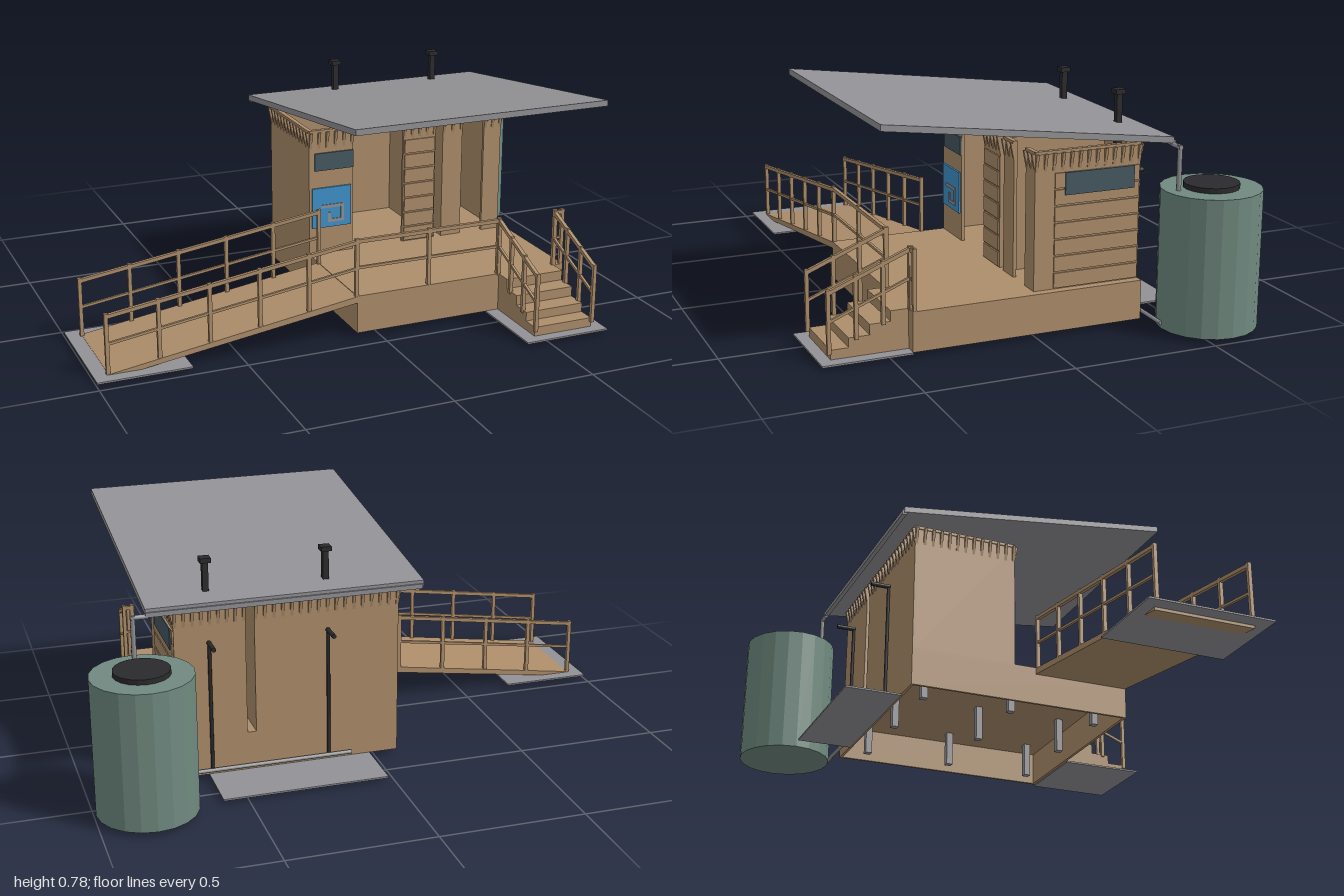
import * as THREE from 'three';

const mat = (name, color) => {
  const m = new THREE.MeshStandardMaterial({ color });
  m.name = name;
  return m;
};

export function createModel() {
  const timber = mat('timber', 0xad8e6b);
  const grey = mat('sheet grey', 0x929296);
  const green = mat('tank green', 0x708a80);
  const black = mat('black plastic', 0x2b2b2d);
  const blue = mat('sign blue', 0x3f92cc);
  const glass = mat('window slate', 0x465862);

  const root = new THREE.Group();
  root.name = 'restroomBlock';
  const group = (name) => {
    const g = new THREE.Group();
    g.name = name;
    root.add(g);
    return g;
  };
  const add = (parent, name, geo, m) => {
    const mesh = new THREE.Mesh(geo, m);
    mesh.name = name;
    parent.add(mesh);
    return mesh;
  };
  // Box given by its limits on each axis
  const box = (parent, name, m, x0, x1, y0, y1, z0, z1) => {
    const mesh = add(parent, name, new THREE.BoxGeometry(x1 - x0, y1 - y0, z1 - z0), m);
    mesh.position.set((x0 + x1) / 2, (y0 + y1) / 2, (z0 + z1) / 2);
    return mesh;
  };
  // Square bar, or round pipe, between two points
  const rod = (parent, name, m, a, b, t, round = false) => {
    const p = new THREE.Vector3(...a), q = new THREE.Vector3(...b);
    const len = p.distanceTo(q);
    const geo = round ? new THREE.CylinderGeometry(t / 2, t / 2, len, 10) : new THREE.BoxGeometry(t, len, t);
    const mesh = add(parent, name, geo, m);
    mesh.position.copy(p).add(q).multiplyScalar(0.5);
    mesh.quaternion.setFromUnitVectors(new THREE.Vector3(0, 1, 0), q.sub(p).normalize());
    return mesh;
  };

  // Hollow deck on short posts
  const deck = group('deck');
  box(deck, 'deckFloor', timber, -0.08, 0.72, 0.135, 0.15, -0.38, 0.43);
  box(deck, 'frontSkirt', timber, -0.08, 0.72, 0.015, 0.135, 0.42, 0.43);
  box(deck, 'backSkirt', timber, -0.08, 0.72, 0.015, 0.135, -0.38, -0.37);
  box(deck, 'leftSkirt', timber, 0.71, 0.72, 0.015, 0.135, -0.37, 0.42);
  box(deck, 'rightSkirt', timber, -0.08, -0.07, 0.015, 0.135, -0.37, 0.42);
  for (const x of [0.02, 0.32, 0.62])
    for (const z of [-0.3, 0.025, 0.35])
      rod(deck, 'deckPost', grey, [x, 0.01, z], [x, 0.135, z], 0.024);

  // Ground slabs
  const slabs = group('groundSlabs');
  box(slabs, 'rampSlab', grey, -1, -0.68, 0.01, 0.016, 0.035, 0.475);
  box(slabs, 'stairSlab', grey, 0.415, 0.725, 0.01, 0.016, 0.43, 0.73);
  box(slabs, 'backSlab', grey, 0.02, 0.585, 0.01, 0.016, -0.58, -0.38);

  // Ramp as a sloped plank
  const ramp = group('ramp');
  const side = new THREE.Shape([[-0.95, 0], [-0.08, 0.125], [-0.08, 0.148], [-0.95, 0.017]].map((p) => new THREE.Vector2(...p)));
  add(ramp, 'rampDeck', new THREE.ExtrudeGeometry(side, { depth: 0.35, bevelEnabled: false }), timber).position.z = 0.08;

  // Railing run with evenly spaced posts between two foot points
  const railing = (name, a, b, bays, h = 0.2) => {
    const g = group(name);
    const at = (t, up) => a.map((v, i) => v + (b[i] - v) * t + (i === 1 ? up : 0));
    for (let i = 0; i <= bays; i++) rod(g, 'railPost', timber, at(i / bays, 0), at(i / bays, h + 0.01), 0.013);
    rod(g, 'handrail', timber, at(0, h), at(1, h), 0.013);
    rod(g, 'midRail', timber, at(0, h - 0.095), at(1, h - 0.095), 0.009);
  };
  for (const z of [0.088, 0.422]) railing('rampRailing', [-0.95, 0.015, z], [-0.08, 0.142, z], 5);
  railing('deckRailing', [-0.08, 0.145, 0.422], [0.46, 0.145, 0.422], 2);
  railing('cornerRailing', [0.685, 0.145, 0.422], [0.713, 0.145, 0.422], 1);
  for (const x of [0.462, 0.682]) railing('stairRailing', [x, 0.035, 0.695], [x, 0.145, 0.425], 3);

  // Stairs
  const stairs = group('stairs');
  [[0.15, 0.49], [0.115, 0.56], [0.08, 0.63], [0.048, 0.69]].forEach(([y, z], i) =>
    box(stairs, 'step', timber, 0.462, 0.682, 0.015, y, i ? z - 0.07 : 0.43, z));

  // Two roofless cubicles with open doorways and a narrow gap between
  const cabin = group('cubicles');
  const T = 0.012, Y0 = 0.15, Y1 = 0.61;
  const cubicle = (x0, d0, d1, x1) => {
    box(cabin, 'backWall', timber, x0, x1, Y0, Y1, -0.38, -0.38 + T);
    box(cabin, 'sideWall', timber, x0, x0 + T, Y0, Y1, -0.38 + T, 0);
    box(cabin, 'sideWall', timber, x1 - T, x1, Y0, Y1, -0.38 + T, 0);
    box(cabin, 'frontWall', timber, x0 + T, d0, Y0, Y1, -T, 0);
    box(cabin, 'frontWall', timber, d1, x1 - T, Y0, Y1, -T, 0);
  };
  cubicle(-0.08, 0.09, 0.29, 0.42);
  cubicle(0.45, 0.53, 0.62, 0.69);

  // Horizontal cladding boards
  for (let y = Y0 + 0.004; y < 0.53; y += 0.056) {
    box(cabin, 'cladding', timber, 0.295, 0.415, y, y + 0.05, 0, 0.005);
    box(cabin, 'cladding', timber, 0.69, 0.695, y, y + 0.05, -0.375, -0.07);
  }

  // Tapered eave brackets along the tops of the outer walls
  const tri = new THREE.Shape([[0, 0], [0, -0.06], [0.012, 0]].map((p) => new THREE.Vector2(...p)));
  const bracketGeo = new THREE.ExtrudeGeometry(tri, { depth: 0.01, bevelEnabled: false });
  bracketGeo.translate(0, 0, -0.005);
  const brackets = (a, b, angle) => {
    const n = Math.max(1, Math.round(Math.hypot(b[0] - a[0], b[1] - a[1]) / 0.03));
    for (let i = 0; i <= n; i++) {
      const m = add(cabin, 'eaveBracket', bracketGeo, timber);
      m.position.set(a[0] + (b[0] - a[0]) * i / n, 0.608, a[1] + (b[1] - a[1]) * i / n);
      m.rotation.y = angle;
    }
  };
  for (const [x0, x1] of [[-0.075, 0.085], [0.295, 0.415], [0.455, 0.525], [0.625, 0.685]]) {
    brackets([x0, 0], [x1, 0], -Math.PI / 2);
    box(cabin, 'topTrim', timber, x0 - 0.005, x1 + 0.005, 0.605, 0.616, -T, 0.004);
  }
  for (const [x0, x1] of [[-0.075, 0.415], [0.455, 0.685]]) {
    brackets([x0, -0.38], [x1, -0.38], Math.PI / 2);
    box(cabin, 'topTrim', timber, x0 - 0.005, x1 + 0.005, 0.605, 0.616, -0.384, -0.368);
  }
  brackets([0.69, -0.375], [0.69, -0.005], 0);
  brackets([-0.08, -0.375], [-0.08, -0.005], Math.PI);
  box(cabin, 'topTrim', timber, 0.678, 0.694, 0.605, 0.616, -0.38, 0);
  box(cabin, 'topTrim', timber, -0.084, -0.068, 0.605, 0.616, -0.38, 0);

  // Windows and sign
  box(cabin, 'frontWindow', glass, -0.06, 0.09, 0.465, 0.53, 0, 0.006);
  box(cabin, 'sideWindow', glass, 0.69, 0.699, 0.465, 0.54, -0.355, -0.105);
  box(cabin, 'sign', blue, -0.07, 0.08, 0.25, 0.4, 0, 0.007);
  const hook = [[-0.03, 0.33], [0.045, 0.33], [0.045, 0.275], [-0.005, 0.275], [-0.005, 0.3]];
  for (let i = 0; i < 4; i++) {
    const [a, b] = [hook[i], hook[i + 1]];
    box(cabin, 'signHook', grey, Math.min(a[0], b[0]) - 0.006, Math.max(a[0], b[0]) + 0.006,
      Math.min(a[1], b[1]) - 0.006, Math.max(a[1], b[1]) + 0.006, 0.007, 0.01);
  }
  box(cabin, 'pedestal', grey, 0.58, 0.62, 0.15, 0.25, -0.34, -0.26);

  // Sloping roof sheet
  const roof = group('roof');
  const prof = new THREE.Shape([[-0.555, 0.755], [0.445, 0.626], [0.445, 0.647], [-0.555, 0.776]].map((p) => new THREE.Vector2(...p)));
  const sheet = add(roof, 'roofSheet', new THREE.ExtrudeGeometry(prof, { depth: 0.935, bevelEnabled: false }), grey);
  sheet.rotation.y = Math.PI / 2;
  sheet.position.x = -0.145;

  // Vent pipes through the roof, and capped pipes on the back wall
  const vents = group('ventPipes');
  for (const x of [0.17, 0.575]) {
    rod(vents, 'ventPipe', black, [x, 0.15, -0.355], [x, 0.765, -0.355], 0.02);
    box(vents, 'ventCap', black, x - 0.018, x + 0.018, 0.755, 0.771, -0.373, -0.337);
    box(vents, 'ventCollar', black, x - 0.013, x + 0.013, 0.62, 0.64, -0.368, -0.342);
    rod(vents, 'backPipe', black, [x, 0.04, -0.39], [x, 0.49, -0.39], 0.012, true);
    rod(vents, 'backPipeSpout', black, [x, 0.487, -0.385], [x, 0.487, -0.455], 0.016, true);
  }

  // Water tank
  const tank = group('waterTank');
  const faceted = (r, h) => {
    const g = new THREE.CylinderGeometry(r, r, h, 20).toNonIndexed();
    g.computeVertexNormals();
    return g;
  };
  add(tank, 'tankBody', faceted(0.167, 0.465), green).position.set(0.83, 0.2475, -0.565);
  add(tank, 'tankLid', faceted(0.092, 0.018), black).position.set(0.83, 0.488, -0.565);

  // Rainwater pipes
  const pipes = group('rainPipes');
  rod(pipes, 'gutter', grey, [-0.14, 0.628, -0.443], [0.79, 0.628, -0.443], 0.016);
  rod(pipes, 'gutterOutlet', grey, [0.78, 0.622, -0.443], [0.838, 0.622, -0.443], 0.016, true);
  rod(pipes, 'downpipe', grey, [0.83, 0.63, -0.443], [0.83, 0.475, -0.443], 0.016, true);
  rod(pipes, 'tankOutlet', grey, [0.09, 0.035, -0.395], [0.83, 0.035, -0.395], 0.014, true);

  return root;
}
